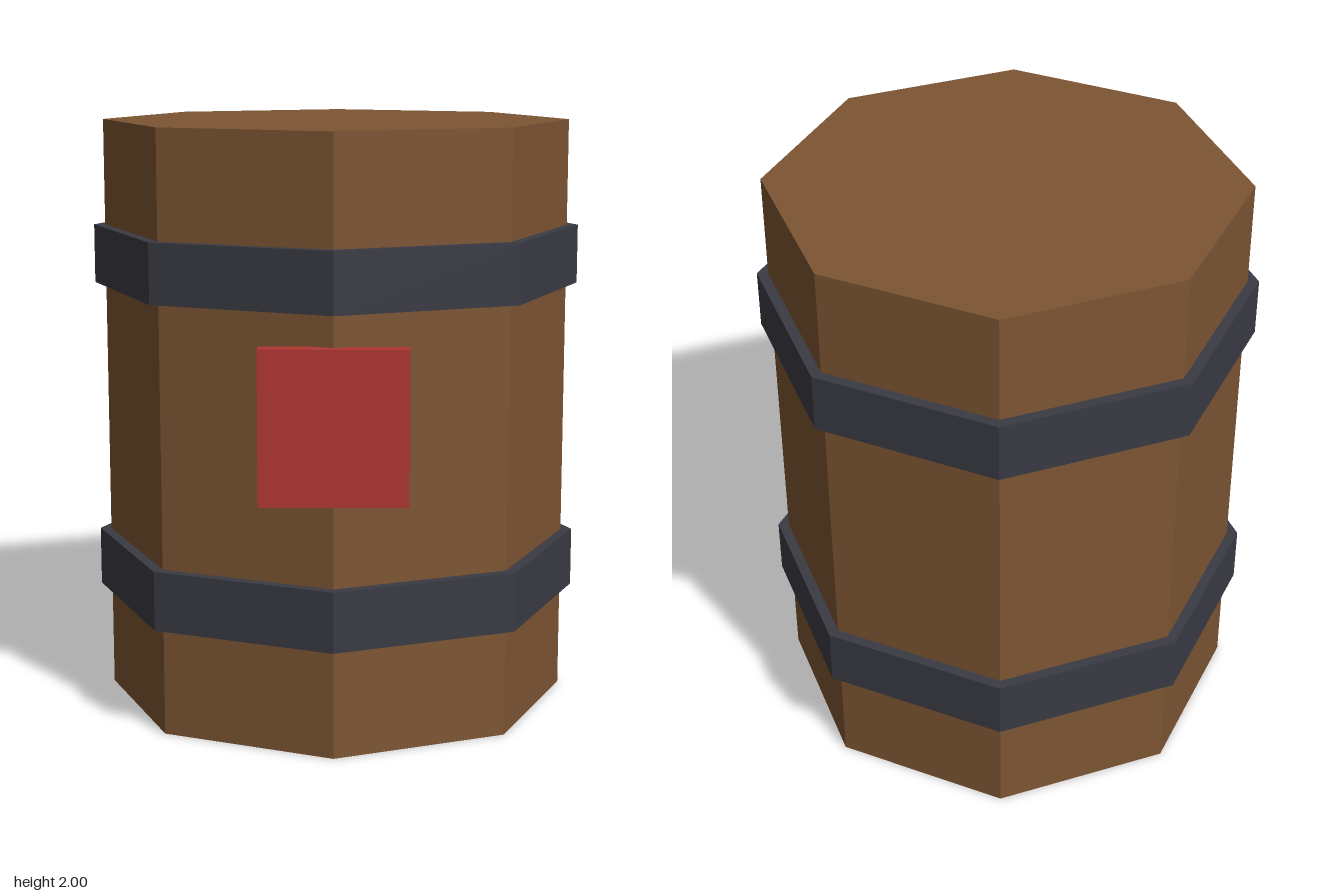
import * as THREE from 'three';

const SIDES = 8;

export function createModel() {
  const group = new THREE.Group();
  group.name = 'barrel';

  const material = (name, color) => {
    const m = new THREE.MeshStandardMaterial({ color });
    m.name = name;
    return m;
  };
  const wood = material('brown wood', 0x7d5533);
  const iron = material('dark iron', 0x3a3a44);
  const red = material('red paint', 0xb03632);

  const add = (name, geometry, mat, y, z = 0) => {
    const mesh = new THREE.Mesh(geometry, mat);
    mesh.name = name;
    mesh.position.set(0, y, z);
    group.add(mesh);
  };

  // Eight-sided prism with a corner towards the front and crisp facets
  const prism = (radius, height) => {
    const g = new THREE.CylinderGeometry(radius, radius, height, SIDES).toNonIndexed();
    g.computeVertexNormals();
    return g;
  };

  // Wooden body
  add('body', prism(0.795, 2), wood, 1);

  // Iron hoops
  add('lowerHoop', prism(0.833, 0.2), iron, 0.463);
  add('upperHoop', prism(0.833, 0.2), iron, 1.54);

  // Label plate across the front corner
  add('label', new THREE.BoxGeometry(0.474, 0.5, 0.06), red, 1.085, 0.797);

  return group;
}
